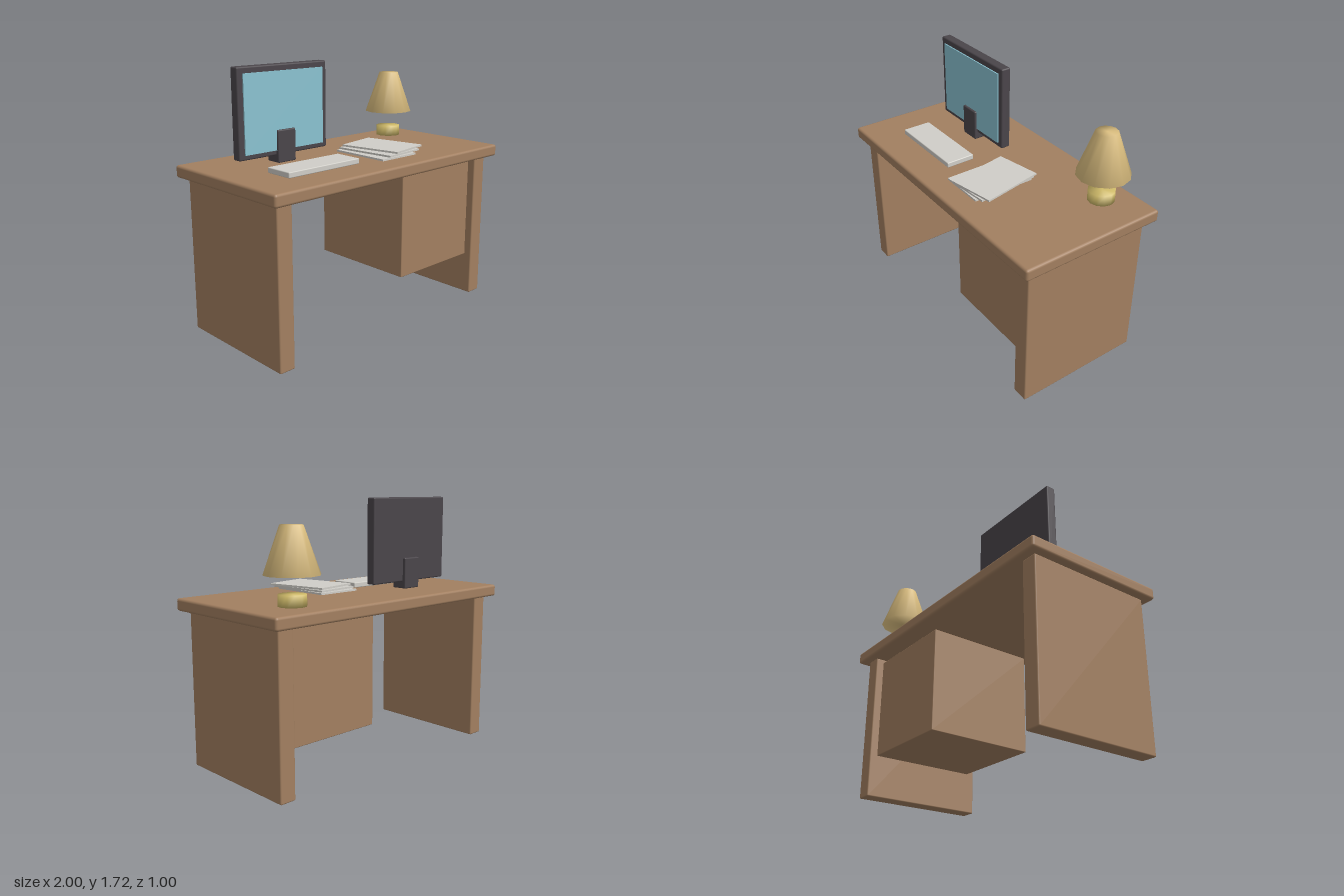
import * as THREE from 'three';
import { mergeVertices } from 'three/addons/utils/BufferGeometryUtils.js';
import { RoundedBoxGeometry } from 'three/addons/geometries/RoundedBoxGeometry.js';

function material(name, color) {
  const m = new THREE.MeshStandardMaterial({ color });
  m.name = name;
  return m;
}

// Closed round solid whose normals blend softly across its rims
function softCylinder(rTop, rBottom, height, sides) {
  const g = new THREE.CylinderGeometry(rTop, rBottom, height, sides);
  g.deleteAttribute('uv');
  g.deleteAttribute('normal');
  const merged = mergeVertices(g, 1e-4);
  merged.computeVertexNormals();
  return merged;
}

export function createModel() {
  const model = new THREE.Group();
  model.name = 'desk';
  const wood = material('wood', 0xa27f60);
  const dark = material('dark plastic', 0x4a454a);
  const glass = material('screen blue', 0x8ac2d0);
  const paper = material('pale grey', 0xd0cec8);
  const shadeTan = material('lampshade tan', 0xdcbf80);
  const brass = material('lamp base yellow', 0xd0bb6a);

  function add(name, geometry, mat, x, y, z, parent = model) {
    const mesh = new THREE.Mesh(geometry, mat);
    mesh.name = name;
    mesh.position.set(x, y, z);
    parent.add(mesh);
    return mesh;
  }

  // Box given by its [min, max] on each axis, with rounded edges
  function box(name, mat, [x0, x1], [y0, y1], [z0, z1], radius, parent) {
    const g = new RoundedBoxGeometry(x1 - x0, y1 - y0, z1 - z0, 2, radius);
    return add(name, g, mat, (x0 + x1) / 2, (y0 + y1) / 2, (z0 + z1) / 2, parent);
  }

  // Desk
  box('desktop', wood, [-1, 1], [1.02, 1.1], [-0.5, 0.5], 0.017);
  box('leftLeg', wood, [0.83, 0.94], [0, 1.025], [-0.44, 0.44], 0.009);
  box('rightLeg', wood, [-0.945, -0.835], [0, 1.025], [-0.44, 0.44], 0.009);
  box('drawerCabinet', wood, [0.14, 0.85], [0.29, 1.0], [-0.385, 0.385], 0.005);

  // Monitor
  const monitor = new THREE.Group();
  monitor.name = 'monitor';
  model.add(monitor);
  box('monitorCase', dark, [-0.785, -0.077], [1.148, 1.717], [-0.18, -0.113], 0.01, monitor);
  add('screen', new THREE.BoxGeometry(0.63, 0.497, 0.009), glass, -0.43, 1.429, -0.109, monitor);
  box('monitorStand', dark, [-0.502, -0.36], [1.1, 1.31], [-0.203, -0.09], 0.008, monitor);

  // Keyboard
  box('keyboard', paper, [-0.715, -0.145], [1.1, 1.136], [0.07, 0.27], 0.006);

  // Fanned stack of papers
  const papers = new THREE.Group();
  papers.name = 'papers';
  model.add(papers);
  for (let i = 0; i < 3; i++) {
    const sheet = add('sheet', new THREE.BoxGeometry(0.31, 0.012, 0.43), paper,
      0.14 + i * 0.03, 1.114 + i * 0.0185, 0.138, papers);
    sheet.rotation.y = i * 0.095;
  }

  // Lamp
  const lamp = new THREE.Group();
  lamp.name = 'lamp';
  lamp.position.set(0.712, 0, -0.29);
  model.add(lamp);
  add('lampBase', softCylinder(0.087, 0.087, 0.07, 12), brass, 0, 1.143, 0, lamp);
  add('lampShade', softCylinder(0.07, 0.171, 0.285, 12), shadeTan, 0, 1.432, 0, lamp);

  return model;
}
